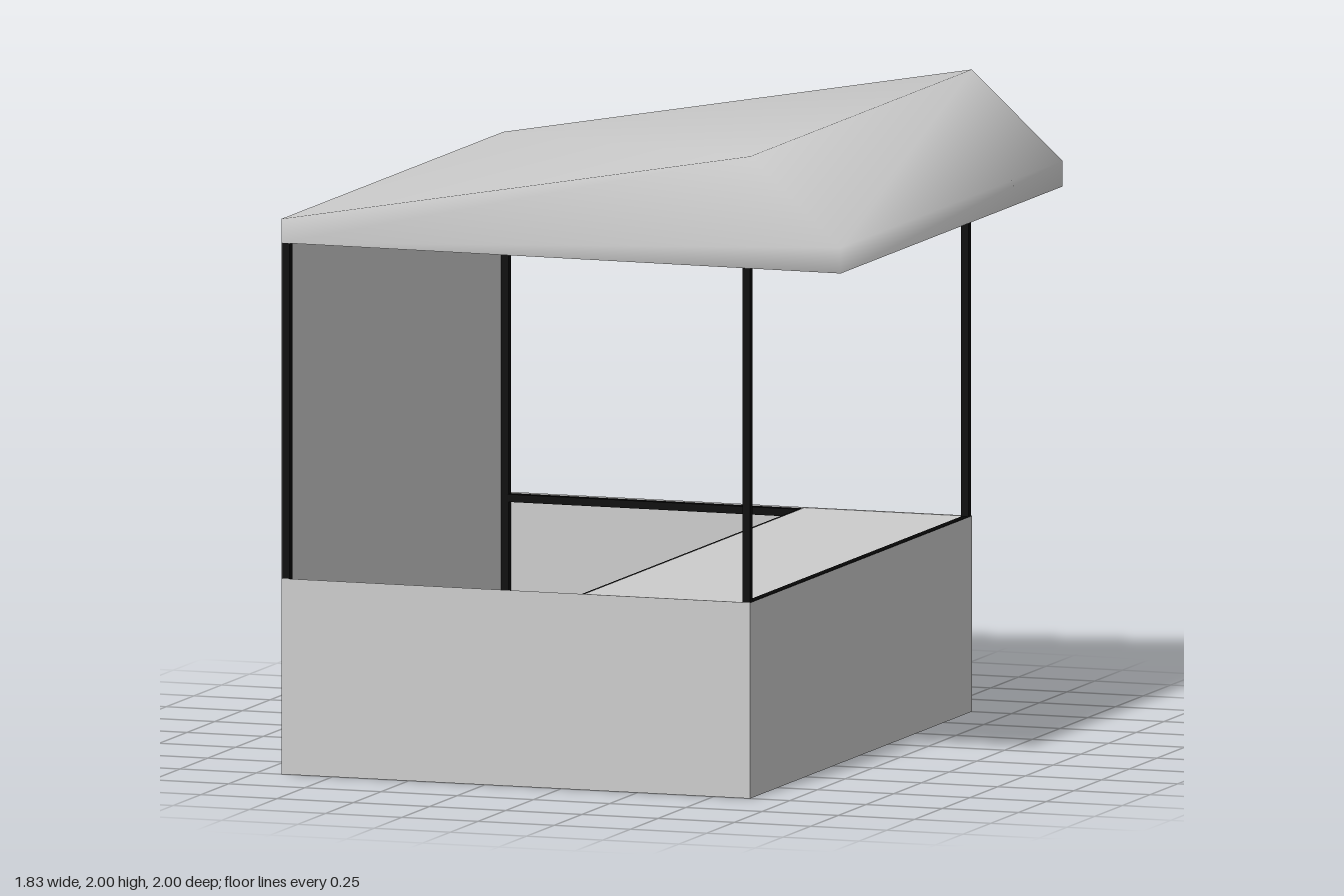
import * as THREE from 'three';

const BACK = -0.917, FRONT = 0.62, EAVE = 0.917, SIDE = 1;
const COUNTER_Y = 0.608, BAR = 0.024;

const panelMat = new THREE.MeshStandardMaterial({ color: 0xcccccc, side: THREE.DoubleSide });
const barMat = new THREE.MeshStandardMaterial({ color: 0x060606 });

export function createModel() {
  const model = new THREE.Group();
  model.name = 'marketStall';

  const add = (name, geometry, material) => {
    const mesh = new THREE.Mesh(geometry, material);
    mesh.name = name;
    model.add(mesh);
    return mesh;
  };
  // Thin sheet of w by h, turned about x or y
  const panel = (name, w, h, pos, rx = 0, ry = 0) => {
    const mesh = add(name, new THREE.PlaneGeometry(w, h), panelMat);
    mesh.position.set(...pos);
    mesh.rotation.set(rx, ry, 0);
  };
  // Square bar between two points
  const bar = (name, a, b) => {
    const from = new THREE.Vector3(...a), to = new THREE.Vector3(...b);
    const mesh = add(name, new THREE.BoxGeometry(BAR, BAR, from.distanceTo(to)), barMat);
    mesh.position.copy(from).add(to).multiplyScalar(0.5);
    mesh.lookAt(to);
  };

  // Wall cladding
  const midX = (BACK + FRONT) / 2, width = FRONT - BACK;
  panel('backWall', 2 * SIDE, 1.66, [BACK, 0.83, 0], 0, -Math.PI / 2);
  panel('frontPanel', 2 * SIDE, 0.61, [FRONT, 0.305, 0], 0, Math.PI / 2);
  for (const s of [-1, 1])
    panel(s > 0 ? 'sidePanelFront' : 'sidePanelBack', width, 0.61, [midX, 0.305, s * SIDE], 0, s > 0 ? 0 : Math.PI);

  // Counter top
  const counterIn = 0.07;
  panel('counter', FRONT - counterIn, 2 * SIDE, [(FRONT + counterIn) / 2, COUNTER_Y, 0], -Math.PI / 2);

  // Frame: posts, side rails and roof ties
  const inset = BAR / 2 + 0.002;
  const xb = BACK + inset, xf = FRONT - inset, zs = SIDE - inset;
  const railY = COUNTER_Y - BAR / 2 - 0.002;
  for (const z of [-zs, zs]) {
    bar('backPost', [xb, 0, z], [xb, 1.7, z]);
    bar('frontPost', [xf, 0, z], [xf, 1.96, z]);
    bar('sideRail', [xb, railY, z], [xf, railY, z]);
    bar('roofTie', [xb, 1.685, z], [EAVE - 0.03, 1.685, z]);
  }
  // Rafters follow the long roof slope
  for (const z of [-zs, 0, zs]) bar('rafter', [xb, 1.705, z], [xf, 1.97, z]);
  // Lengthwise rails
  bar('counterFrontRail', [xf, railY + 0.004, -zs], [xf, railY + 0.004, zs]);
  bar('counterInnerRail', [counterIn, railY, -zs], [counterIn, railY, zs]);
  bar('backTopRail', [xb, 1.685, -zs], [xb, 1.685, zs]);
  bar('ridgeRail', [xf, 1.965, -zs], [xf, 1.965, zs]);

  // Roof: five-point section, open below, with shared corners for soft shading
  const section = [[BACK, 1.655], [BACK, 1.73], [FRONT, 2], [EAVE, 1.73], [EAVE, 1.65]];
  const n = section.length, positions = [], index = [];
  for (const z of [SIDE, -SIDE]) for (const [x, y] of section) positions.push(x, y, z);
  for (let i = 0; i < n - 1; i++) index.push(i, i + 1, n + i, i + 1, n + i + 1, n + i);
  for (let i = 1; i < n - 1; i++) index.push(0, i + 1, i, n, n + i, n + i + 1);
  // Strips run front to back, so reverse them to face outward
  for (let k = 0; k < (n - 1) * 6; k += 3) {
    const [a, b, c] = index.slice(k, k + 3);
    const p = (j) => new THREE.Vector3().fromArray(positions, j * 3);
    const normal = p(b).sub(p(a)).cross(p(c).sub(p(a)));
    if (normal.dot(p(a).sub(new THREE.Vector3(0.2, 1.7, 0)).setZ(0)) < 0) [index[k + 1], index[k + 2]] = [c, b];
  }
  const roof = new THREE.BufferGeometry();
  roof.setAttribute('position', new THREE.Float32BufferAttribute(positions, 3));
  roof.setIndex(index);
  roof.computeVertexNormals();
  add('roof', roof, panelMat);

  return model;
}
